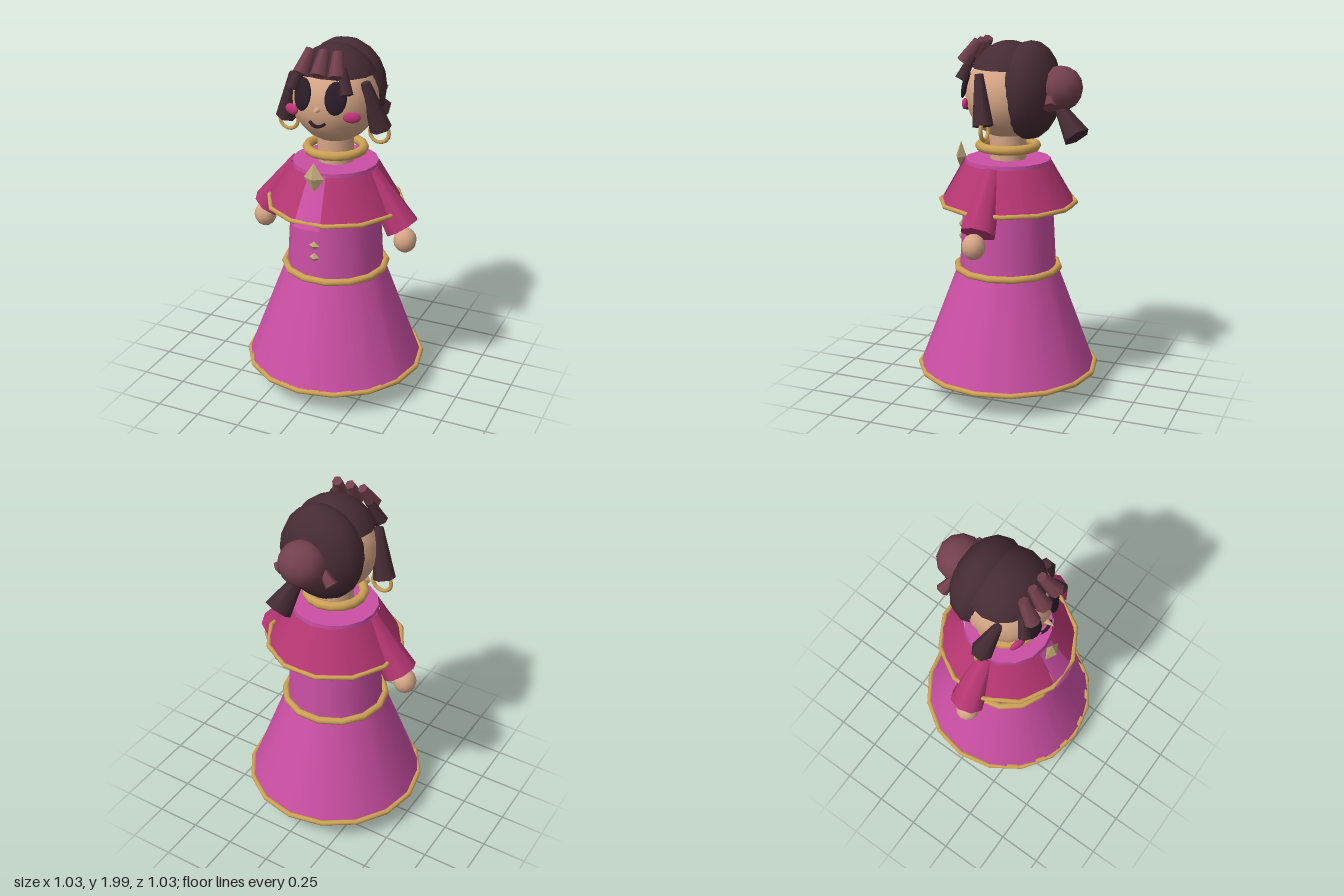
import * as THREE from 'three';

const mat = (name, color, side = THREE.FrontSide) => {
  const m = new THREE.MeshStandardMaterial({ color, side });
  m.name = name;
  return m;
};

export function createModel() {
  const model = new THREE.Group();
  model.name = 'robedDoll';

  const dress = mat('orchidDress', 0xca4fa3, THREE.DoubleSide);
  const cape = mat('magentaCape', 0xb53672, THREE.DoubleSide);
  const gold = mat('gold', 0xcda155);
  const skin = mat('skin', 0xd6a686);
  const hair = mat('darkHair', 0x452b34);
  const lightHair = mat('reddishHair', 0x72404d);
  const shoe = mat('brownShoe', 0x5e3a34);
  const blush = mat('pinkBlush', 0xc2357a);
  const dark = mat('eyeDark', 0x2a1c28);
  const jewel = mat('paleJewel', 0xbfa878);

  const add = (name, geo, material, x = 0, y = 0, z = 0) => {
    const mesh = new THREE.Mesh(geo, material);
    mesh.name = name;
    mesh.position.set(x, y, z);
    model.add(mesh);
    return mesh;
  };
  // Upright cone section between two heights
  const band = (name, rTop, rBottom, y0, y1, sides, material, open = false, start = 0, len = Math.PI * 2) =>
    add(name, new THREE.CylinderGeometry(rTop, rBottom, y1 - y0, sides, 1, open, start, len), material, 0, (y0 + y1) / 2, 0);
  // Ellipsoid
  const blob = (name, material, pos, radii, w = 14, h = 10) => {
    const mesh = add(name, new THREE.SphereGeometry(1, w, h), material, ...pos);
    mesh.scale.set(...radii);
    return mesh;
  };
  // Tapered piece running from one point to another
  const lock = (name, material, from, to, rFrom, rTo, sides = 6) => {
    const a = new THREE.Vector3(...from), b = new THREE.Vector3(...to);
    const mesh = add(name, new THREE.CylinderGeometry(rFrom, rTo, a.distanceTo(b), sides), material);
    mesh.position.copy(a).add(b).multiplyScalar(0.5);
    mesh.quaternion.setFromUnitVectors(new THREE.Vector3(0, 1, 0), a.sub(b).normalize());
    return mesh;
  };
  // Horizontal gold trim
  const trim = (name, r, tube, y, sides, turn = 0) => {
    const geo = new THREE.TorusGeometry(r, tube, 8, sides).rotateX(Math.PI / 2).rotateY(turn);
    return add(name, geo, gold, 0, y, 0);
  };
  const gem = (name, y, z, w, h, d) => {
    add(name, new THREE.OctahedronGeometry(1), jewel, 0, y, z).scale.set(w, h, d);
  };

  // Skirt with front pleats
  band('skirt', 0.28, 0.495, 0.14, 0.72, 16, dress);
  for (let i = -3; i <= 3; i++) {
    band('pleat', 0.283, 0.502, 0.14, 0.72, 1, dress, true, i * 0.36 - 0.12, 0.24);
  }
  trim('hemTrim', 0.5, 0.015, 0.145, 16);
  trim('waistTrim', 0.285, 0.02, 0.725, 14);

  // Bodice, cape and front placket
  band('bodice', 0.235, 0.27, 0.72, 1.34, 16, dress);
  const gap = 0.2;
  band('cape', 0.242, 0.375, 1.09, 1.32, 12, cape, true, gap, Math.PI * 2 - 2 * gap);
  band('placket', 0.244, 0.388, 1.075, 1.33, 2, dress, true, -gap, gap * 2);
  trim('capeTrim', 0.375, 0.013, 1.1, 12, Math.PI / 12);
  gem('brooch', 1.328, 0.28, 0.058, 0.085, 0.032);
  gem('button', 0.935, 0.28, 0.032, 0.026, 0.02);
  gem('button', 0.865, 0.28, 0.032, 0.026, 0.02);

  // Neck and collar
  band('neck', 0.1, 0.1, 1.32, 1.5, 14, skin);
  trim('collarTrim', 0.155, 0.026, 1.41, 16);

  // Head and hair masses
  blob('head', skin, [0, 1.69, 0], [0.232, 0.237, 0.232], 20, 14);
  const cap = add('hairCap', new THREE.SphereGeometry(1, 16, 6, 0, Math.PI * 2, 0, 1.115), hair, 0, 1.73, -0.005);
  cap.scale.set(0.24, 0.25, 0.215);
  blob('backHair', hair, [0, 1.72, -0.13], [0.237, 0.265, 0.16], 14, 10);
  blob('bun', lightHair, [0.01, 1.74, -0.3], [0.128, 0.12, 0.122], 12, 8);
  lock('ponytail', hair, [0.03, 1.65, -0.3], [0.085, 1.5, -0.42], 0.03, 0.075);

  // Fringe
  for (const i of [-1, 0, 1]) {
    lock('fringeLock', lightHair, [i * 0.075, 1.98, 0.14], [i * 0.1, 1.865, 0.215], 0.027, 0.044);
  }

  // Nose and smile
  const nose = add('nose', new THREE.ConeGeometry(0.022, 0.06, 6).rotateX(Math.PI / 2), skin, 0, 1.69, 0.25);
  nose.scale.y = 0.8;
  const smile = new THREE.QuadraticBezierCurve3(
    new THREE.Vector3(-0.045, 1.62, 0.228), new THREE.Vector3(0, 1.58, 0.25), new THREE.Vector3(0.045, 1.62, 0.228));
  add('mouth', new THREE.TubeGeometry(smile, 10, 0.009, 6), dark);

  // Mirrored parts
  for (const s of [-1, 1]) {
    const eye = blob('eye', dark, [s * 0.094, 1.755, 0.208], [0.058, 0.088, 0.018], 16, 8);
    eye.rotation.set(-0.25, s * 0.35, 0);
    const cheek = blob('cheek', blush, [s * 0.172, 1.655, 0.18], [0.046, 0.03, 0.016], 12, 8);
    cheek.rotation.y = s * 0.35;

    lock('templeLock', hair, [s * 0.11, 1.9, 0.16], [s * 0.155, 1.78, 0.21], 0.022, 0.035);
    lock('sideLock', hair, [s * 0.205, 1.82, 0.085], [s * 0.275, 1.56, 0.035], 0.025, 0.06);
    lock('bunPin', lightHair, [s * 0.09, 1.72, -0.27], [s * 0.16, 1.66, -0.295], 0.02, 0.036);
    add('earring', new THREE.TorusGeometry(0.055, 0.011, 6, 14), gold, s * 0.265, 1.54, 0.03);

    lock('sleeve', cape, [s * 0.205, 1.3, 0.01], [s * 0.402, 1.01, 0.015], 0.055, 0.098, 8);
    blob('hand', skin, [s * 0.425, 0.945, 0.03], [0.064, 0.07, 0.064], 12, 8);

    blob('shoe', shoe, [s * 0.145, 0.066, 0.08], [0.115, 0.062, 0.165]);
    blob('toes', skin, [s * 0.142, 0.085, 0.225], [0.08, 0.045, 0.085], 12, 8);
    const strap = add('shoeStrap', new THREE.TorusGeometry(0.088, 0.012, 6, 10, Math.PI), gold, s * 0.142, 0.095, 0.25);
    strap.scale.y = 0.4;
  }

  return model;
}
